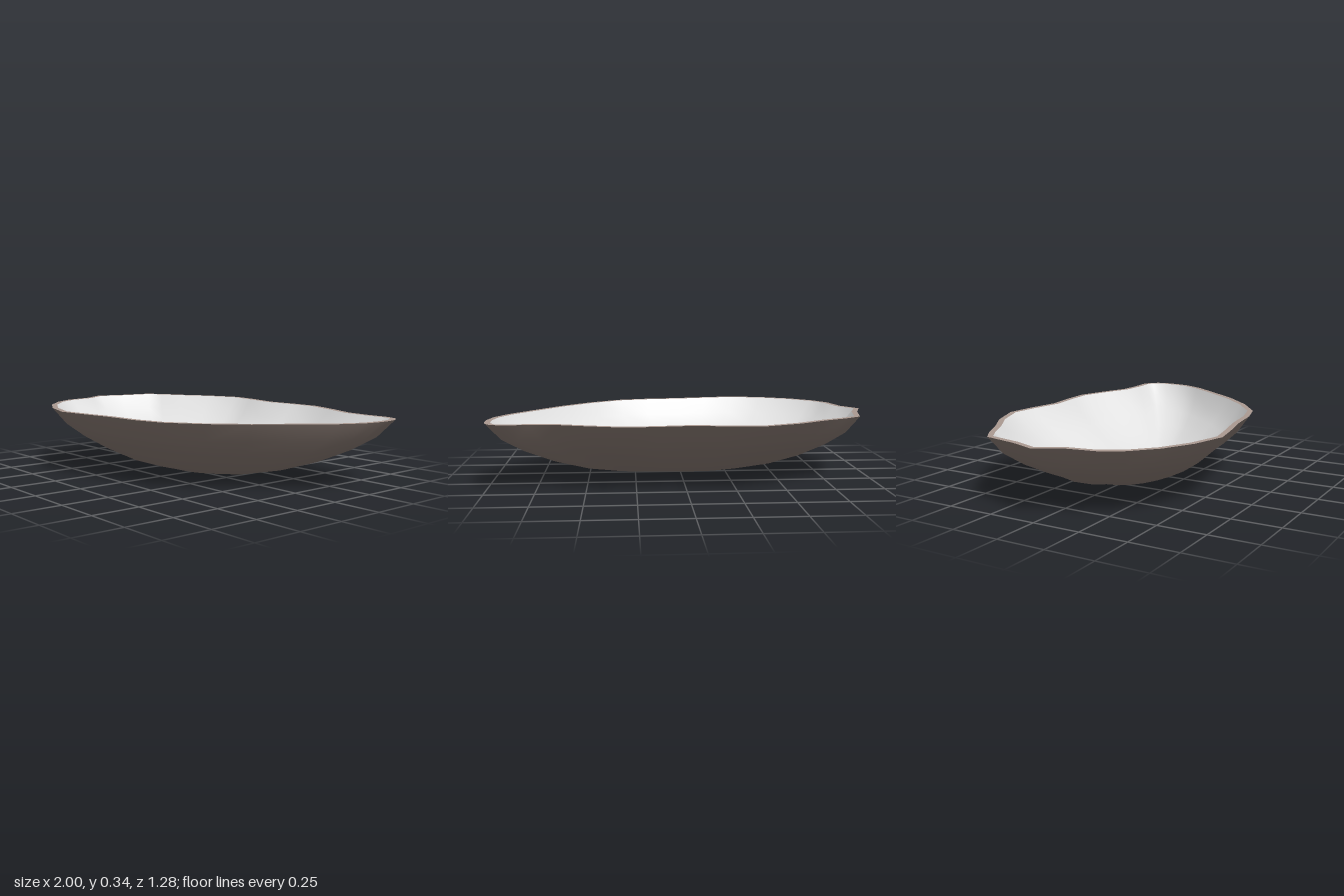
import * as THREE from 'three';

// Rim outline (x, z), clockwise seen from above, starting at the back
const OUTLINE = [
  [-0.36, -0.64], [-0.2, -0.627], [-0.02, -0.597], [0.16, -0.62], [0.31, -0.63], [0.49, -0.575],
  [0.64, -0.52], [0.77, -0.513], [0.89, -0.52], [0.955, -0.5], [0.985, -0.455], [0.997, -0.4],
  [0.997, -0.33], [0.98, -0.23], [0.92, -0.11], [0.8, 0.05], [0.67, 0.22], [0.51, 0.38],
  [0.34, 0.5], [0.18, 0.545], [-0.02, 0.57], [-0.18, 0.605], [-0.36, 0.637], [-0.55, 0.585],
  [-0.71, 0.5], [-0.83, 0.39], [-0.895, 0.28], [-0.925, 0.12], [-1, 0], [-0.95, -0.14],
  [-0.91, -0.33], [-0.82, -0.395], [-0.7, -0.46], [-0.55, -0.56],
];

// Bowl profile from rim to keel: x scale, z scale, height
const RINGS = [
  [1, 1, 0.345], [0.93, 0.885, 0.255], [0.825, 0.745, 0.185], [0.685, 0.575, 0.117],
  [0.52, 0.405, 0.062], [0.34, 0.22, 0.025], [0.17, 0.09, 0.007], [0, 0, 0],
];
const KEEL_Z = 0.02;
const RIM_WIDTH = 0.03;
const FLOOR = 0.025;

// Moves every outline point inward along its normal
function inset(points, d) {
  const n = points.length;
  return points.map(([x, z], i) => {
    const a = points[(i + n - 1) % n], b = points[(i + 1) % n];
    const dx = b[0] - a[0], dz = b[1] - a[1], len = Math.hypot(dx, dz);
    return [x - (dz / len) * d, z + (dx / len) * d];
  });
}

// Joins closed rings of equal length; the first ring lies outside or above the next
function skin(rings, flip) {
  const n = rings[0].length, index = [];
  for (let r = 0; r < rings.length - 1; r++) {
    for (let i = 0; i < n; i++) {
      const j = (i + 1) % n;
      const a = r * n + i, b = r * n + j, c = (r + 1) * n + j, d = (r + 1) * n + i;
      if (flip) index.push(a, c, b, a, d, c);
      else index.push(a, b, c, a, c, d);
    }
  }
  const geometry = new THREE.BufferGeometry();
  geometry.setAttribute('position', new THREE.Float32BufferAttribute(rings.flat(2), 3));
  geometry.setIndex(index);
  geometry.computeVertexNormals();
  // The last ring of a bowl meets in one point, so give it one shared normal
  const normal = geometry.attributes.normal;
  const last = rings[rings.length - 1];
  if (last[0][0] === last[1][0] && last[0][2] === last[1][2]) {
    for (let i = 0; i < n; i++) normal.setXYZ((rings.length - 1) * n + i, 0, flip ? 1 : -1, 0);
  }
  return geometry;
}

// Scales an outline down through the bowl profile
function bowlRings(outline, lift) {
  return RINGS.map(([sx, sz, y]) => outline.map(([x, z]) => [
    x * sx, y + lift * (1 - y / 0.345), KEEL_Z + (z - KEEL_Z) * sz,
  ]));
}

export function createModel() {
  const shellBrown = new THREE.MeshStandardMaterial({ color: 0x84766f });
  shellBrown.name = 'shell brown';
  const rimTaupe = new THREE.MeshStandardMaterial({ color: 0xaa9991 });
  rimTaupe.name = 'rim taupe';
  const pearl = new THREE.MeshStandardMaterial({ color: 0xe2e2e2 });
  pearl.name = 'pearl white';

  const group = new THREE.Group();
  group.name = 'shell';
  const add = (name, geometry, material) => {
    const mesh = new THREE.Mesh(geometry, material);
    mesh.name = name;
    group.add(mesh);
  };

  const outer = bowlRings(OUTLINE, 0);
  const inner = bowlRings(inset(OUTLINE, RIM_WIDTH), FLOOR);

  add('outerShell', skin(outer, false), shellBrown);
  add('innerLining', skin(inner, true), pearl);
  // Flat lip joining the two bowls
  add('rim', skin([outer[0], inner[0]], true), rimTaupe);
  return group;
}
